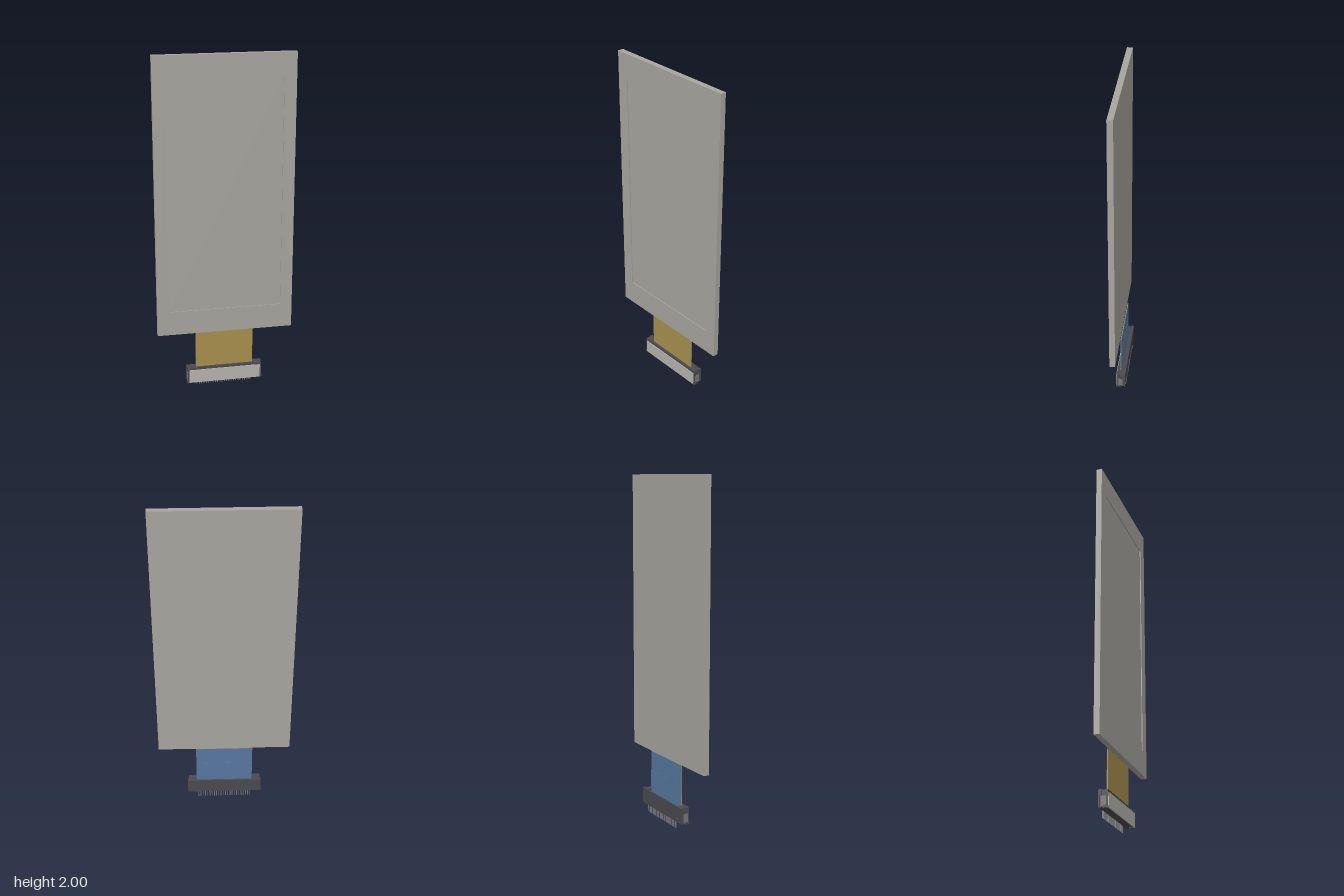
import * as THREE from 'three';

const mat = (color) => new THREE.MeshStandardMaterial({ color });
const glass = mat(0xa7a59e), gold = mat(0xa88f4e), blue = mat(0x57779f);
const dark = mat(0x4a4a50), pale = mat(0xb4b3ad), metal = mat(0x77777a);

// Box given by its limits on each axis
function box(parent, name, material, [x0, x1], [y0, y1], [z0, z1]) {
  const mesh = new THREE.Mesh(new THREE.BoxGeometry(x1 - x0, y1 - y0, z1 - z0), material);
  mesh.position.set((x0 + x1) / 2, (y0 + y1) / 2, (z0 + z1) / 2);
  mesh.name = name;
  parent.add(mesh);
  return mesh;
}

function rectangle(Type, x, y0, y1) {
  const r = new Type();
  r.moveTo(-x, y0).lineTo(x, y0).lineTo(x, y1).lineTo(-x, y1).closePath();
  return r;
}

function createDisplay() {
  const g = new THREE.Group();
  g.name = 'displayPanel';
  // Frame around a shallow recessed screen
  const outline = rectangle(THREE.Shape, 0.4, 0.37, 2);
  outline.holes.push(rectangle(THREE.Path, 0.33, 0.515, 1.86));
  const frame = new THREE.Mesh(
    new THREE.ExtrudeGeometry(outline, { depth: 0.033, bevelEnabled: false }), glass);
  frame.name = 'panelFrame';
  g.add(frame);
  box(g, 'screen', glass, [-0.33, 0.33], [0.515, 1.86], [0, 0.028]);
  return g;
}

function createRibbon() {
  const g = new THREE.Group();
  g.name = 'flexRibbon';
  box(g, 'ribbonFront', gold, [-0.172, 0.172], [0.07, 0.372], [-0.006, -0.002]);
  // Backing film in two lengths, the lower one slightly thicker
  box(g, 'ribbonBackUpper', blue, [-0.172, 0.172], [0.255, 0.372], [-0.008, -0.006]);
  box(g, 'ribbonBackStiffener', blue, [-0.172, 0.172], [0.07, 0.255], [-0.009, -0.006]);
  return g;
}

function createConnector() {
  const g = new THREE.Group();
  g.name = 'connector';
  // Housing: floor, rear wall and front wall around the ribbon slot
  box(g, 'housingFloor', dark, [-0.215, 0.215], [0.04, 0.07], [-0.03, 0.015]);
  box(g, 'housingRear', dark, [-0.2, 0.2], [0.04, 0.127], [-0.03, -0.019]);
  box(g, 'housingSlotWall', dark, [-0.175, 0.175], [0.07, 0.12], [-0.019, -0.012]);
  box(g, 'housingFront', dark, [-0.215, 0.215], [0.05, 0.135], [0.002, 0.015]);
  box(g, 'frontCover', pale, [-0.215, 0.215], [0.038, 0.12], [0.015, 0.02]);
  // Rear locking plate
  box(g, 'rearPlate', dark, [-0.227, 0.227], [0.04, 0.133], [-0.036, -0.03]);

  // End blocks, ears and side clips
  for (const s of [-1, 1]) {
    const side = (a, b) => (s > 0 ? [a, b] : [-b, -a]);
    box(g, 'endBlock', dark, side(0.174, 0.222), [0.04, 0.133], [-0.03, 0.016]);
    box(g, 'endEar', dark, side(0.222, 0.227), [0.1, 0.136], [-0.03, -0.018]);
    box(g, 'sideClip', metal, side(0.222, 0.225), [0.045, 0.1], [-0.022, 0.008]);
    box(g, 'clipFoot', dark, side(0.205, 0.226), [0.035, 0.05], [-0.01, 0.018]);
  }

  // Solder pins below and contact fingers in the slot
  const count = 24;
  for (let i = 0; i < count; i++) {
    const x = -0.161 + (0.322 * i) / (count - 1);
    box(g, 'pin', metal, [x - 0.0025, x + 0.0025], [0, 0.045], [-0.035, -0.031]);
    box(g, 'contact', metal, [x - 0.0025, x + 0.0025], [0.07, 0.128], [-0.002, 0.002]);
  }
  return g;
}

export function createModel() {
  const model = new THREE.Group();
  model.name = 'displayModule';
  model.add(createDisplay(), createRibbon(), createConnector());
  return model;
}
